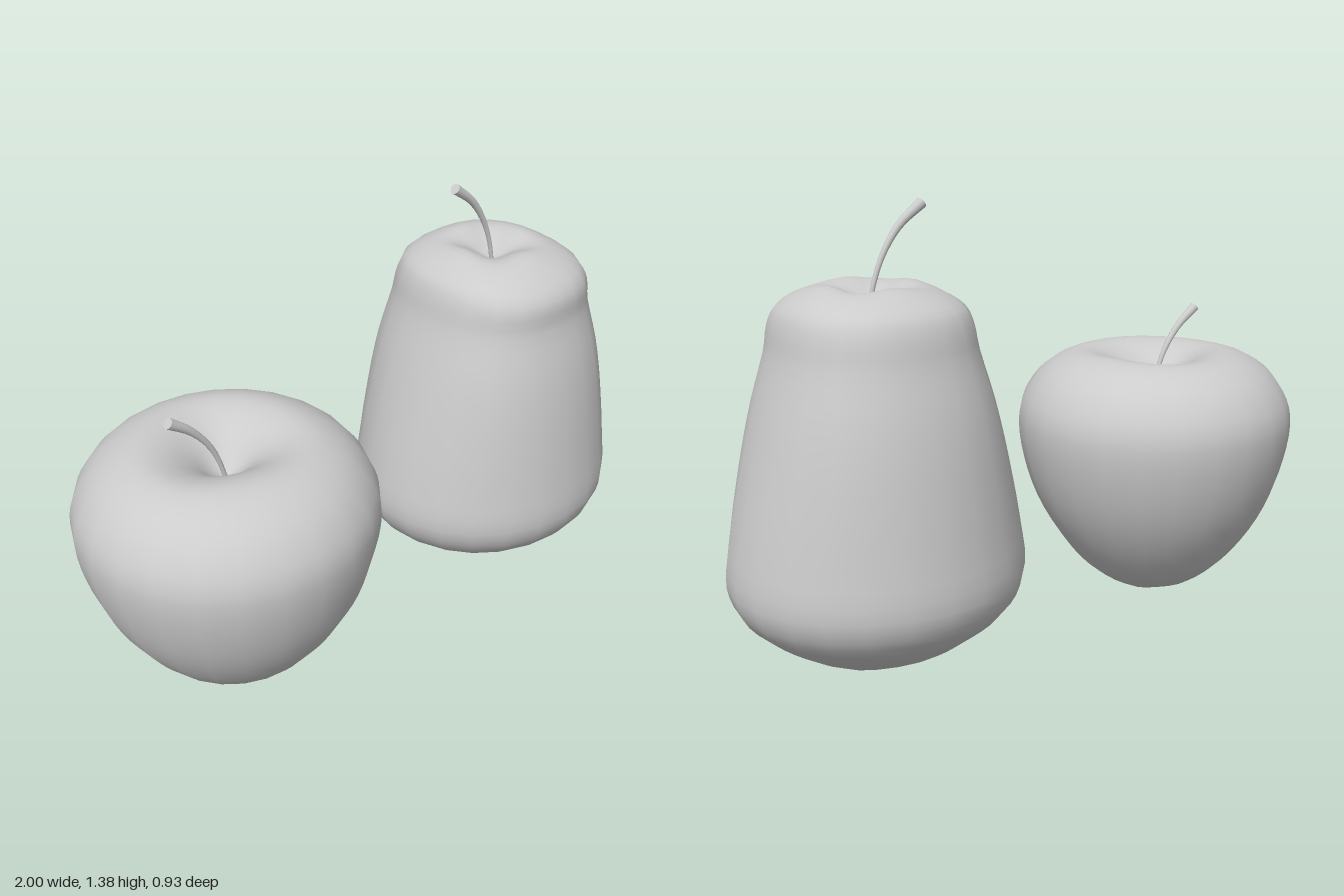
import * as THREE from 'three';
import { mergeVertices } from 'three/addons/utils/BufferGeometryUtils.js';

const material = new THREE.MeshStandardMaterial({ color: 0xcccccc });

// Smooth lathed body; shape(v) then moves every vertex by a rule
function fruitBody(name, profile, steps, segments, shape) {
  const curve = new THREE.CatmullRomCurve3(
    profile.map(([r, y]) => new THREE.Vector3(r, y, 0)), false, 'centripetal');
  const points = curve.getPoints(steps).map((p) => new THREE.Vector2(Math.max(p.x, 0), p.y));
  let geometry = new THREE.LatheGeometry(points, segments);
  const pos = geometry.attributes.position;
  const v = new THREE.Vector3();
  for (let i = 0; i < pos.count; i++) {
    v.fromBufferAttribute(pos, i);
    shape(v);
    pos.setXYZ(i, v.x, v.y, v.z);
  }
  // Weld the seam and poles so the shading is continuous
  geometry.deleteAttribute('uv');
  geometry.deleteAttribute('normal');
  geometry = mergeVertices(geometry, 1e-4);
  geometry.computeVertexNormals();
  const mesh = new THREE.Mesh(geometry, material);
  mesh.name = name;
  return mesh;
}

// Bent stalk that widens toward a flat tip
function stem(name, path, r0, r1) {
  const group = new THREE.Group();
  group.name = name;
  const curve = new THREE.CatmullRomCurve3(path.map(([x, y]) => new THREE.Vector3(x, y, 0)));
  const rings = 14, sides = 10;
  const geometry = new THREE.TubeGeometry(curve, rings, 1, sides);
  const pos = geometry.attributes.position;
  const v = new THREE.Vector3();
  for (let i = 0; i <= rings; i++) {
    const t = i / rings;
    const centre = curve.getPointAt(t);
    const radius = r0 + (r1 - r0) * t * t;
    for (let j = 0; j <= sides; j++) {
      const k = i * (sides + 1) + j;
      v.fromBufferAttribute(pos, k).sub(centre).multiplyScalar(radius).add(centre);
      pos.setXYZ(k, v.x, v.y, v.z);
    }
  }
  const tip = new THREE.Mesh(new THREE.CircleGeometry(r1, sides), material);
  tip.name = name + 'Tip';
  tip.position.copy(curve.getPointAt(1));
  tip.quaternion.setFromUnitVectors(new THREE.Vector3(0, 0, 1), curve.getTangentAt(1));
  const stalk = new THREE.Mesh(geometry, material);
  stalk.name = name + 'Stalk';
  group.add(stalk, tip);
  return group;
}

// Bump that is 1 at radius c and fades over width w
const bump = (r, c, w) => Math.exp(-(((r - c) / w) ** 2));

function apple() {
  const group = new THREE.Group();
  group.name = 'apple';
  const profile = [
    [0, 0.06], [0.03, 0.045], [0.07, 0.015], [0.12, 0.01], [0.23, 0.08], [0.325, 0.19],
    [0.4, 0.32], [0.447, 0.46], [0.465, 0.59], [0.45, 0.67], [0.4, 0.75], [0.33, 0.803],
    [0.25, 0.828], [0.17, 0.812], [0.1, 0.77], [0.045, 0.72], [0, 0.69],
  ];
  const body = fruitBody('appleBody', profile, 48, 24, (v) => {
    const r = Math.hypot(v.x, v.z), a = Math.atan2(v.z, v.x);
    if (v.y < 0.2) v.y += 0.008 * Math.cos(5 * a) * bump(r, 0.07, 0.05);
    if (v.y > 0.65) v.y += 0.006 * Math.cos(3 * a + 0.6) * bump(r, 0.17, 0.09);
  });
  group.add(body, stem('appleStem',
    [[0.005, 0.68], [-0.02, 0.77], [-0.05, 0.835], [-0.105, 0.905], [-0.175, 0.96]], 0.007, 0.017));
  group.position.x = -0.535;
  return group;
}

function pear() {
  const group = new THREE.Group();
  group.name = 'pear';
  const profile = [
    [0, 0.09], [0.04, 0.07], [0.09, 0.035], [0.14, 0.018], [0.22, 0.04], [0.33, 0.105],
    [0.42, 0.185], [0.455, 0.275], [0.437, 0.42], [0.39, 0.62], [0.34, 0.8], [0.293, 0.95],
    [0.277, 1.03], [0.255, 1.08], [0.2, 1.12], [0.135, 1.142], [0.08, 1.125], [0.035, 1.095],
    [0, 1.075],
  ];
  const body = fruitBody('pearBody', profile, 54, 24, (v) => {
    const r = Math.hypot(v.x, v.z), a = Math.atan2(v.z, v.x);
    // Puckered blossom end and gently wavy crown
    if (v.y < 0.2) v.y += 0.016 * Math.cos(5 * a + 0.4) * bump(r, 0.11, 0.07);
    if (v.y > 1.05) v.y += 0.006 * Math.cos(4 * a) * bump(r, 0.12, 0.06);
    // Squarish crown, oval body: narrow in z below and wide in z above
    const up = THREE.MathUtils.smoothstep(v.y, 0.3, 1.03);
    const square = 1 - 0.035 * up * Math.cos(4 * a) + 0.035 * up;
    v.x *= square;
    v.z *= square * (0.935 + 0.145 * up);
    // Small overhanging lip on the front of the crown
    if (v.z > 0) v.z *= 1 + 0.04 * bump(v.y, 1.04, 0.05);
  });
  group.add(body, stem('pearStem',
    [[0.005, 1.06], [-0.012, 1.14], [-0.045, 1.225], [-0.1, 1.305], [-0.178, 1.367]], 0.007, 0.017));
  group.position.x = 0.545;
  return group;
}

export function createModel() {
  const model = new THREE.Group();
  model.name = 'fruitPair';
  model.add(apple(), pear());
  return model;
}
